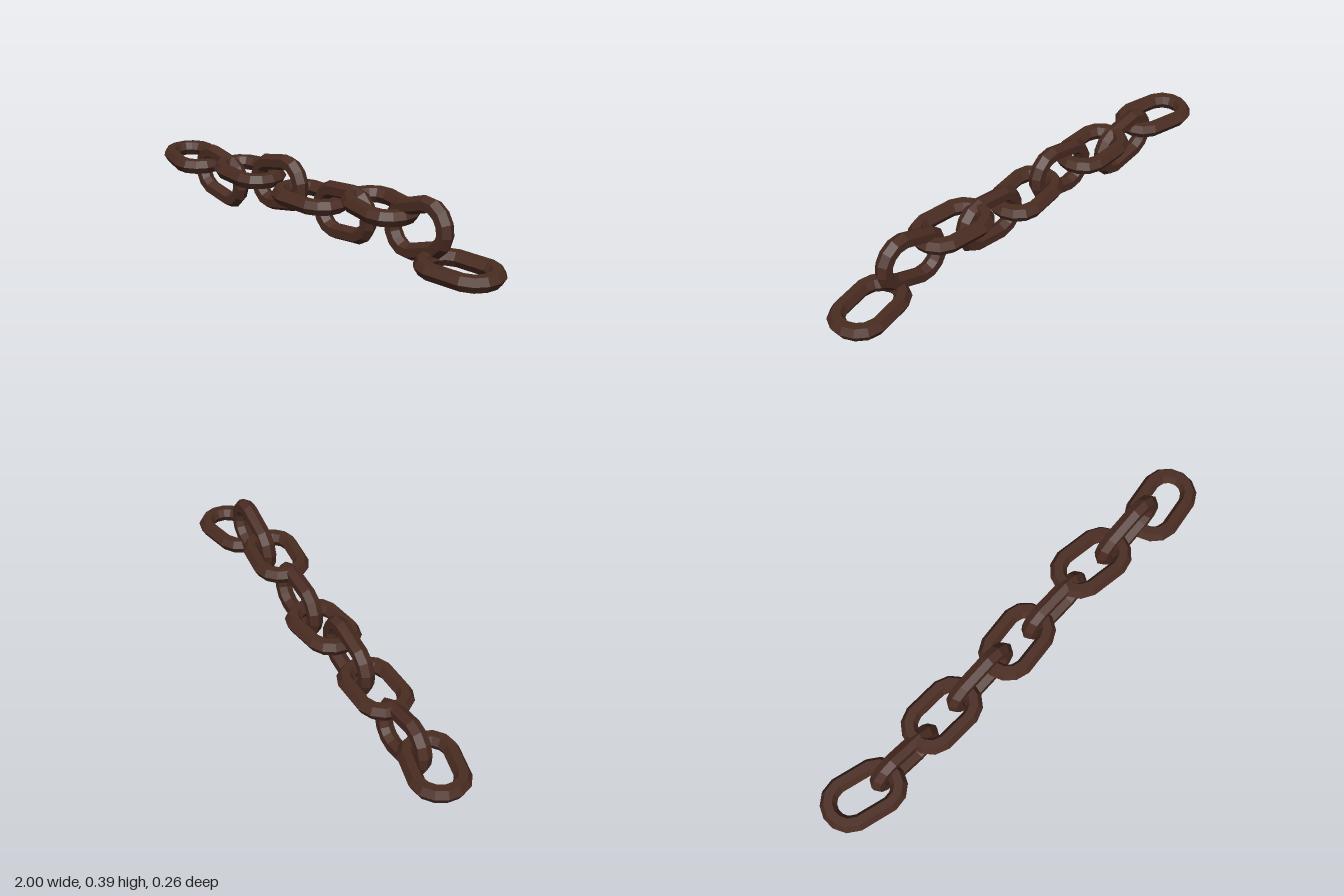
import * as THREE from 'three';

// Six-sided bar swept round a closed, rounded oblong path in the XY plane
function linkGeometry() {
  const quarter = [[0.14, 0], [0.132, 0.036], [0.108, 0.066], [0.068, 0.082]];
  const path = [
    ...quarter,
    ...quarter.slice(1).reverse().map(([x, y]) => [-x, y]),
    ...quarter.map(([x, y]) => [-x, -y]),
    ...quarter.slice(1).reverse().map(([x, y]) => [x, -y]),
  ].map(([x, y]) => new THREE.Vector2(x, y));
  const n = path.length, sides = 6, radius = 0.032;
  const positions = [], index = [];
  path.forEach((p, i) => {
    const before = p.clone().sub(path[(i + n - 1) % n]).normalize();
    const after = path[(i + 1) % n].clone().sub(p).normalize();
    const t = before.clone().add(after).normalize();
    const miter = 1 / t.dot(after);
    for (let j = 0; j < sides; j++) {
      const a = (j / sides) * Math.PI * 2;
      const out = Math.cos(a) * radius * miter;
      positions.push(p.x + t.y * out, p.y - t.x * out, Math.sin(a) * radius);
      const k = (j + 1) % sides, next = (i + 1) % n;
      const q = [i * sides + j, next * sides + j, next * sides + k, i * sides + k];
      index.push(q[0], q[1], q[2], q[0], q[2], q[3]);
    }
  });
  const g = new THREE.BufferGeometry();
  g.setAttribute('position', new THREE.Float32BufferAttribute(positions, 3));
  g.setIndex(index);
  const flat = g.toNonIndexed();
  flat.computeVertexNormals();
  return flat;
}

export function createModel() {
  const chain = new THREE.Group();
  chain.name = 'chain';
  const rust = new THREE.MeshStandardMaterial({ color: 0x4a2c22 });
  rust.name = 'rustyBrown';
  const geometry = linkGeometry();

  // Centre x, centre y, tilt in degrees; links alternate flat and upright
  const links = [
    [-0.828, 0.16, -14],
    [-0.618, 0.131, -7],
    [-0.413, 0.203, 0],
    [-0.208, 0.212, 13],
    [-0.003, 0.208, 7],
    [0.205, 0.206, 8],
    [0.408, 0.29, -7],
    [0.615, 0.266, 20],
    [0.828, 0.178, 10],
  ];
  links.forEach(([x, y, degrees], i) => {
    const tilt = THREE.MathUtils.degToRad(degrees);
    const flat = i % 2 === 0;
    const link = new THREE.Mesh(geometry, rust);
    link.name = (flat ? 'flatLink' : 'uprightLink') + (i + 1);
    link.position.set(x, y, 0);
    if (flat) link.rotation.set(Math.PI / 2, tilt, 0, 'YXZ');
    else link.rotation.z = tilt;
    chain.add(link);
  });
  return chain;
}
